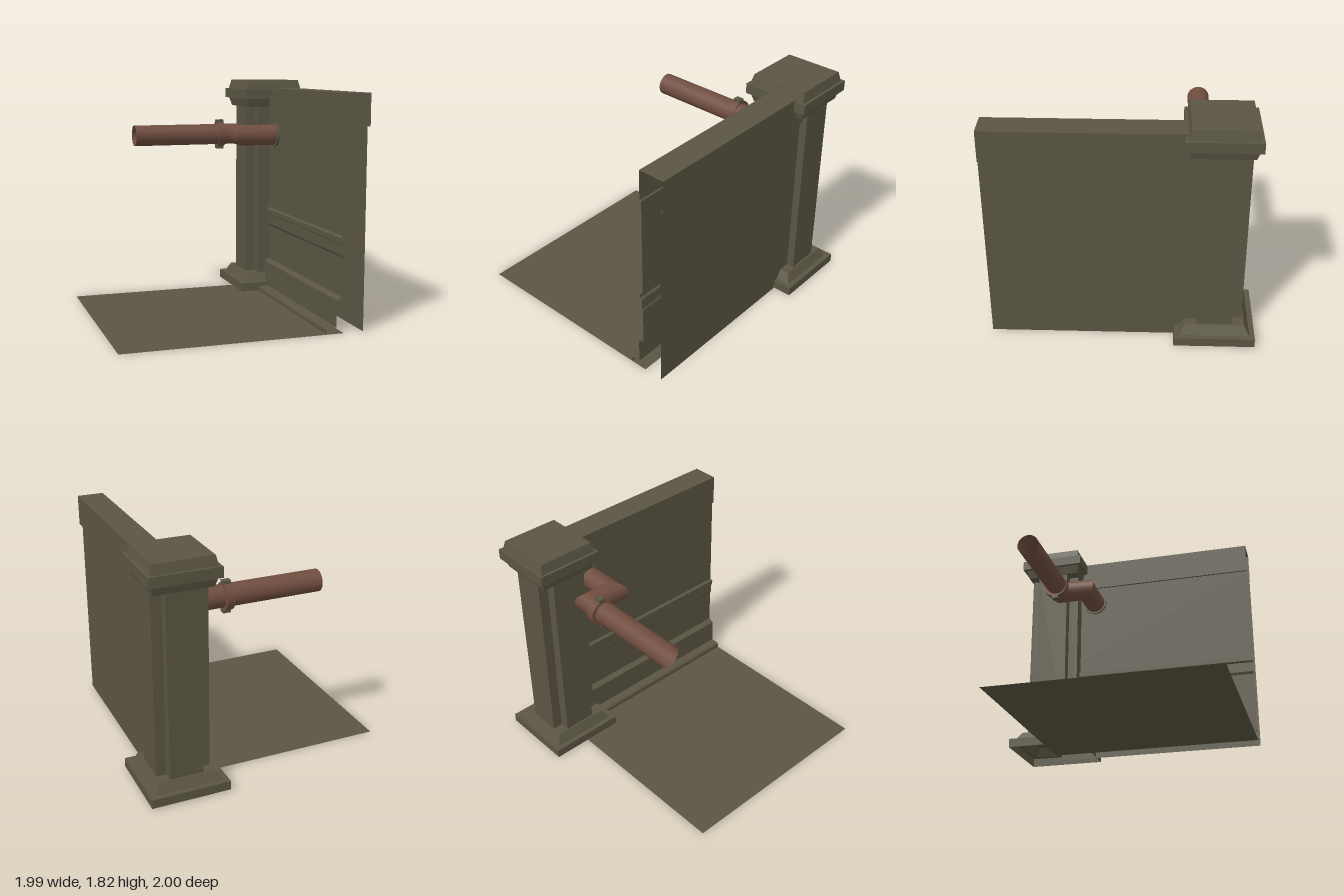
import * as THREE from 'three';

const olive = new THREE.MeshStandardMaterial({ name: 'olive stone', color: 0x5a5543, side: THREE.DoubleSide });
const rust = new THREE.MeshStandardMaterial({ name: 'rusty brown', color: 0x704d40, side: THREE.DoubleSide });

// Geometry from plain positions, faceted
function faceted(positions) {
  const g = new THREE.BufferGeometry();
  g.setAttribute('position', new THREE.Float32BufferAttribute(positions, 3));
  g.computeVertexNormals();
  return g;
}

// Open strip: an x,y profile carried along z
function strip(profile, z0, z1) {
  const pos = [];
  for (let i = 0; i < profile.length - 1; i++) {
    const [ax, ay] = profile[i], [bx, by] = profile[i + 1];
    pos.push(ax, ay, z0, ax, ay, z1, bx, by, z1);
    pos.push(ax, ay, z0, bx, by, z1, bx, by, z0);
  }
  return faceted(pos);
}

// Square stack: a profile of [half width, y] turned round four sides
function squareStack(profile) {
  const pts = profile.map(([h, y]) => new THREE.Vector2(h * Math.SQRT2, y));
  const g = new THREE.LatheGeometry(pts, 4, Math.PI / 4).toNonIndexed();
  g.computeVertexNormals();
  return g;
}

// Pipe length between two oval sections, each with a centre and sideways vector
function pipeLength(a, b, radius, sides = 20) {
  const pos = [], index = [];
  for (const s of [a, b]) {
    for (let i = 0; i < sides; i++) {
      const t = (i / sides) * Math.PI * 2;
      const side = Math.sin(t) * radius;
      pos.push(s.x + s.dx * side, s.y + Math.cos(t) * radius, s.z + s.dz * side);
    }
  }
  for (let i = 0; i < sides; i++) {
    const j = (i + 1) % sides;
    index.push(i, j, sides + j, i, sides + j, sides + i);
  }
  const g = new THREE.BufferGeometry();
  g.setAttribute('position', new THREE.Float32BufferAttribute(pos, 3));
  g.setIndex(index);
  g.computeVertexNormals();
  // Point the faces away from the axis
  const n = g.attributes.normal;
  if (n.getY(0) < 0) {
    g.setIndex(index.slice().reverse());
    g.computeVertexNormals();
  }
  return g;
}

export function createModel() {
  const model = new THREE.Group();
  const add = (name, geometry, material, parent = model) => {
    const mesh = new THREE.Mesh(geometry, material);
    mesh.name = name;
    parent.add(mesh);
    return mesh;
  };

  // Floor sheet
  const back = -0.69, front = 1;
  add('floor', strip([[0.68, 0], [-1, 0]], back, front), olive);

  // Wall: mouldings on the inner side, coping, plain outer sheet
  const wall = new THREE.Group();
  wall.name = 'wall';
  model.add(wall);
  const wallParts = {
    floorMoulding: [[0.545, 0], [0.545, 0.03], [0.557, 0.045], [0.62, 0.05]],
    baseboard: [[0.62, 0.05], [0.62, 0.25], [0.665, 0.27]],
    lowerPanel: [[0.665, 0.27], [0.665, 0.56]],
    chairRail: [[0.665, 0.56], [0.655, 0.58], [0.655, 0.66], [0.64, 0.67], [0.64, 0.71], [0.665, 0.72]],
    upperPanel: [[0.665, 0.72], [0.665, 1.51]],
    coping: [[0.665, 1.51], [0.65, 1.51], [0.65, 1.75], [0.86, 1.75], [0.86, 1.51], [0.836, 1.51]],
    outerSheet: [[0.836, 1.51], [0.836, 0]],
  };
  for (const [name, profile] of Object.entries(wallParts)) add(name, strip(profile, back, front), olive, wall);

  // Corner pillar with a cross-shaped shaft
  const pillar = new THREE.Group();
  pillar.name = 'pillar';
  pillar.position.set(0.687, 0, -0.695);
  model.add(pillar);
  add('plinth', squareStack([[0.305, 0.01], [0.305, 0.08], [0.265, 0.08], [0.225, 0.15], [0, 0.15]]), olive, pillar);
  add('capital', squareStack([
    [0, 1.59], [0.22, 1.59], [0.24, 1.66], [0.265, 1.66], [0.265, 1.74],
    [0.243, 1.74], [0.225, 1.815], [0, 1.815],
  ]), olive, pillar);
  const arm = 0.13, reach = 0.21;
  const cross = new THREE.Shape([
    [arm, -reach], [arm, -arm], [reach, -arm], [reach, arm], [arm, arm], [arm, reach],
    [-arm, reach], [-arm, arm], [-reach, arm], [-reach, -arm], [-arm, -arm], [-arm, -reach],
  ].map(([x, y]) => new THREE.Vector2(x, y)));
  const shaft = new THREE.ExtrudeGeometry(cross, { depth: 1.44, bevelEnabled: false });
  shaft.rotateX(-Math.PI / 2).translate(0, 0.15, 0);
  add('shaft', shaft, olive, pillar);

  // Mitred pipe, open at its far end
  const pipe = new THREE.Group();
  pipe.name = 'pipe';
  model.add(pipe);
  const y = 1.36;
  const sections = [
    { x: -0.51, y, z: -0.573, dx: 0, dz: 1 },
    { x: 0.375, y, z: -0.573, dx: -1, dz: 1 },
    { x: 0.375, y, z: -0.355, dx: -1, dz: 1 },
    { x: 0.71, y, z: -0.355, dx: 0, dz: 1 },
  ];
  ['longPipe', 'crossPipe', 'wallPipe'].forEach((name, i) =>
    add(name, pipeLength(sections[i], sections[i + 1], 0.086), rust, pipe));

  // Clamp with two lugs, and the collar at the wall
  const ring = (r, length) => new THREE.CylinderGeometry(r, r, length, 20).rotateZ(Math.PI / 2);
  add('clampRing', ring(0.103, 0.06), rust, pipe).position.set(0.24, y, -0.585);
  for (const s of [1, -1]) {
    add('clampLug', new THREE.BoxGeometry(0.06, 0.03, 0.05), olive, pipe).position.set(0.24, y + s * 0.108, -0.585);
  }
  add('wallCollar', ring(0.1, 0.065), olive, pipe).position.set(0.678, y, -0.355);

  return model;
}
